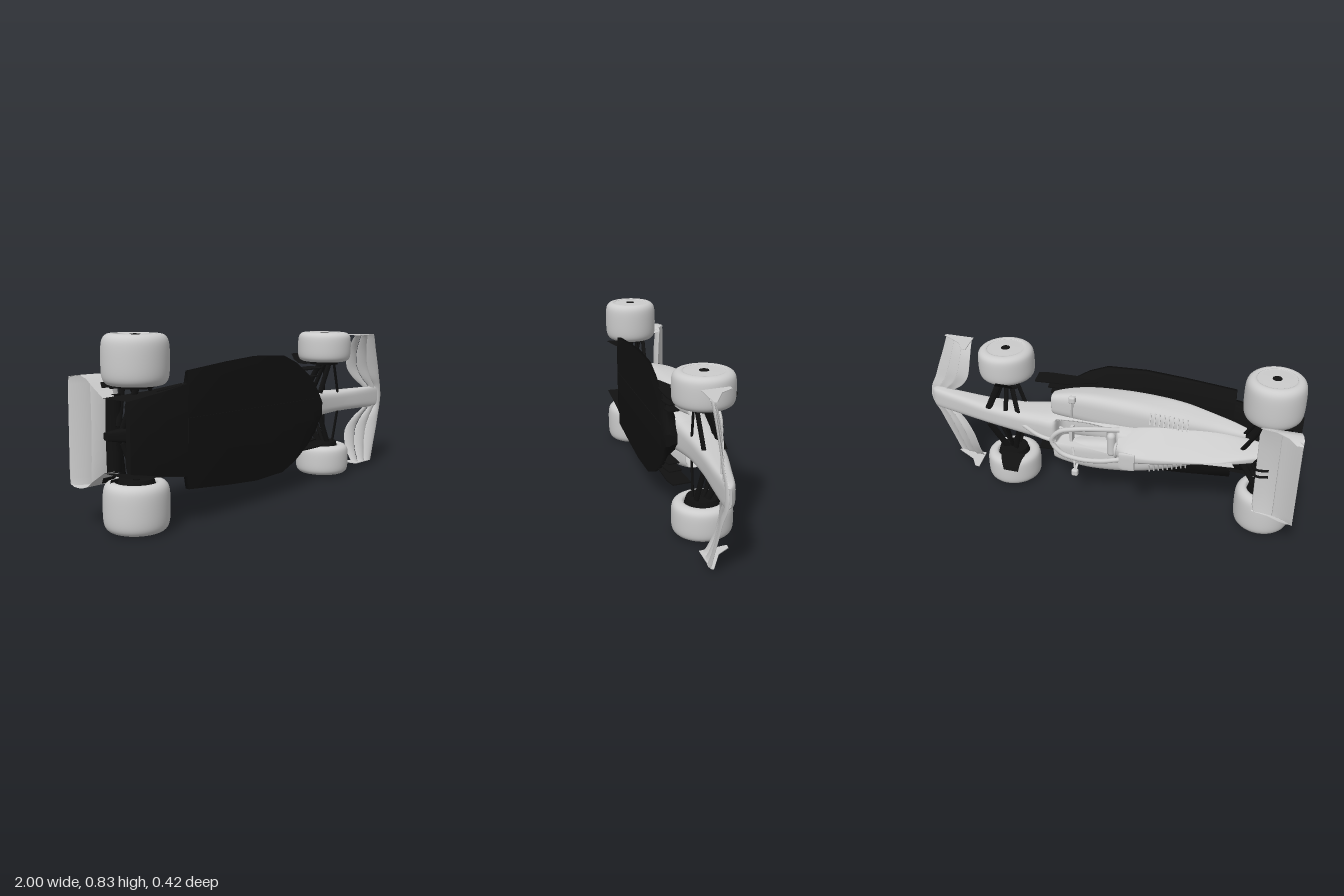
import * as THREE from 'three';
import { RoundedBoxGeometry } from 'three/addons/geometries/RoundedBoxGeometry.js';

const grey = new THREE.MeshStandardMaterial({ color: 0xcccccc, side: THREE.DoubleSide });
const black = new THREE.MeshStandardMaterial({ color: 0x111111, side: THREE.DoubleSide });
const V = (x, y, z) => new THREE.Vector3(x, y, z);

export function createModel() {
  // Car frame: x forward, y up, z sideways; the whole car is laid on its side at the end
  const car = new THREE.Group();
  car.name = 'racingCar';
  const add = (name, geo, mat = grey) => {
    const m = new THREE.Mesh(geo, mat);
    m.name = name;
    car.add(m);
    return m;
  };

  // Skin over rows of points; closed rows get end caps
  function loft(rows, closed = true) {
    const n = rows[0].length, pos = [], idx = [];
    rows.forEach(r => r.forEach(p => pos.push(p.x, p.y, p.z)));
    for (let i = 0; i < rows.length - 1; i++)
      for (let j = 0; j < (closed ? n : n - 1); j++) {
        const a = i * n + j, b = i * n + (j + 1) % n;
        idx.push(a, b, a + n, b, b + n, a + n);
      }
    if (closed) [rows[0], rows[rows.length - 1]].forEach((r, e) => {
      const base = pos.length / 3;
      const c = r.reduce((s, p) => s.add(p), V(0, 0, 0)).divideScalar(n);
      [c, ...r].forEach(p => pos.push(p.x, p.y, p.z));
      for (let j = 0; j < n; j++) {
        const a = base + 1 + j, b = base + 1 + (j + 1) % n;
        e ? idx.push(base, a, b) : idx.push(base, b, a);
      }
    });
    const g = new THREE.BufferGeometry();
    g.setAttribute('position', new THREE.Float32BufferAttribute(pos, 3));
    g.setIndex(idx);
    g.computeVertexNormals();
    return g;
  }

  // Rounded body section: widths at bottom and top, optional sunken top (cockpit)
  function section([x, yb, yt, wb, wt, dip = 0, zc = 0], e = 0.55) {
    return Array.from({ length: 48 }, (_, i) => {
      const a = i / 48 * Math.PI * 2, c = Math.cos(a), s = Math.sin(a);
      const h = Math.sign(s) * Math.abs(s) ** e, k = Math.sign(c) * Math.abs(c) ** e;
      const z = k * THREE.MathUtils.lerp(wb, wt, (h + 1) / 2);
      const y = (yb + yt) / 2 + h * (yt - yb) / 2;
      return V(x, s > 0 && Math.abs(k) < 0.82 ? y - dip : y, zc + z);
    });
  }
  // Smooth the station list with a spline in every column
  function smooth(st, steps) {
    return Array.from({ length: steps + 1 }, (_, i) => {
      const t = i / steps * (st.length - 1), k = Math.min(Math.floor(t), st.length - 2), f = t - k;
      const at = j => st[THREE.MathUtils.clamp(j, 0, st.length - 1)];
      return st[k].map((p1, c) => {
        const p0 = at(k - 1)[c], p2 = at(k + 1)[c], p3 = at(k + 2)[c];
        return p1 + 0.5 * f * (p2 - p0 + f * (2 * p0 - 5 * p1 + 4 * p2 - p3 + f * (3 * (p1 - p2) + p3 - p0)));
      });
    });
  }
  const body = (name, st, steps = 30, mat = grey, e) =>
    add(name, loft(smooth(st, steps).map(s => section(s, e))), mat);

  // Aerofoil with stations [z, leadX, leadY, trailX, trailY, sag]
  const wing = (name, st, mat = grey, thick = 0.006) =>
    add(name, loft(st.map(([z, lx, ly, tx, ty, sag = 0.01]) =>
      Array.from({ length: 20 }, (_, i) => {
        const a = i / 20 * Math.PI * 2, t = (1 - Math.cos(a)) / 2;
        return V(lx + (tx - lx) * t, ly + (ty - ly) * t - sag * 4 * t * (1 - t) + Math.sin(a) * thick, z);
      }))), mat);
  const mirrorZ = half => [...half.slice().reverse().map(([z, ...r]) => [-z, ...r]), ...half.filter(s => s[0] > 0)];

  // Flattened rod between two points
  function rod(name, a, b, chord, thin, mat = black) {
    const d = b.clone().sub(a);
    const m = add(name, new THREE.CylinderGeometry(1, 1, d.length(), 10).scale(chord, 1, thin), mat);
    m.position.copy(a).add(b).multiplyScalar(0.5);
    m.quaternion.setFromUnitVectors(V(0, 1, 0), d.normalize());
  }
  const tube = (name, pts, r, mat = grey) =>
    add(name, new THREE.TubeGeometry(new THREE.CatmullRomCurve3(pts.map(p => V(...p))), 48, r, 10), mat);
  // Upright plate drawn in x/y at a given z
  function plate(name, pts, z, mat, t = 0.004) {
    const shape = new THREE.Shape(pts.map(p => new THREE.Vector2(...p)));
    add(name, new THREE.ExtrudeGeometry(shape, { depth: t, bevelEnabled: false }).translate(0, 0, z - t / 2), mat);
  }

  // Nose and survival cell with open cockpit
  body('noseCone', [[0.98, -0.128, -0.108, 0.045, 0.04], [0.94, -0.13, -0.078, 0.062, 0.052], [0.8, -0.125, -0.04, 0.06, 0.054],
    [0.63, -0.115, 0.003, 0.06, 0.054], [0.45, -0.115, 0.035, 0.068, 0.06], [0.3, -0.13, 0.055, 0.085, 0.07]]);
  body('survivalCell', [[0.3, -0.13, 0.055, 0.085, 0.07, 0], [0.22, -0.14, 0.06, 0.1, 0.078, 0], [0.19, -0.15, 0.06, 0.1, 0.08, 0.08],
    [0.05, -0.16, 0.06, 0.1, 0.088, 0.1], [-0.08, -0.16, 0.08, 0.1, 0.088, 0.1], [-0.12, -0.16, 0.085, 0.1, 0.085, 0], [-0.2, -0.16, 0.085, 0.1, 0.08, 0]], 40);
  // Engine cover running back from the air intake
  body('engineCover', [[-0.13, 0.02, 0.135, 0.08, 0.028], [-0.2, -0.02, 0.175, 0.105, 0.03], [-0.31, -0.06, 0.168, 0.13, 0.022],
    [-0.45, -0.09, 0.135, 0.12, 0.014], [-0.6, -0.11, 0.1, 0.09, 0.01], [-0.72, -0.11, 0.05, 0.06, 0.02], [-0.86, -0.1, -0.02, 0.035, 0.02]], 36);
  plate('spineFin', [[-0.4, 0.13], [-0.7, 0.1], [-0.67, 0.05], [-0.4, 0.08]], 0, grey);
  const intake = add('airIntake', new THREE.TorusGeometry(0.034, 0.007, 10, 28).scale(1, 0.85, 1));
  intake.position.set(-0.127, 0.115, 0);
  intake.rotation.y = Math.PI / 2;

  // Roll hoop camera pod
  rod('cameraMast', V(-0.2, 0.16, 0), V(-0.2, 0.2, 0), 0.02, 0.008, grey);
  body('cameraPod', [[-0.165, 0.19, 0.205, 0.044, 0.044], [-0.19, 0.188, 0.208, 0.049, 0.049], [-0.24, 0.192, 0.204, 0.045, 0.045]], 8);

  // Cockpit fittings
  add('headrest', new THREE.CapsuleGeometry(0.022, 0.09, 6, 14).rotateX(Math.PI / 2)).position.set(-0.09, 0.075, 0);
  add('seat', new THREE.BoxGeometry(0.03, 0.1, 0.11).rotateZ(0.35)).position.set(-0.06, 0.0, 0);
  add('steeringWheel', new THREE.BoxGeometry(0.015, 0.04, 0.075)).position.set(0.13, 0.035, 0);
  rod('steeringColumn', V(0.13, 0.035, 0), V(0.21, 0.0, 0), 0.009, 0.009, grey);

  // Halo hoop and pillar
  tube('haloHoop', [[-0.13, 0.07, 0.088], [-0.04, 0.1, 0.094], [0.07, 0.121, 0.088], [0.16, 0.126, 0.062], [0.205, 0.124, 0],
    [0.16, 0.126, -0.062], [0.07, 0.121, -0.088], [-0.04, 0.1, -0.094], [-0.13, 0.07, -0.088]], 0.0125);
  tube('haloPillar', [[0.19, 0.124, 0], [0.28, 0.1, 0], [0.39, 0.035, 0]], 0.011);

  // Front wing: three overlapping elements
  const wingPlan = smooth([[0, 1.0, -0.126, 0.86, -0.115], [0.055, 0.99, -0.128, 0.85, -0.105], [0.11, 0.965, -0.135, 0.785, -0.082],
    [0.18, 0.94, -0.14, 0.735, -0.064], [0.27, 0.905, -0.145, 0.72, -0.078], [0.34, 0.88, -0.149, 0.72, -0.112], [0.362, 0.87, -0.15, 0.72, -0.13]], 24);
  for (let i = 0; i < 3; i++) {
    const f = i / 3, g = (i + 1) / 3 + 0.02;
    wing('frontWingElement', mirrorZ(wingPlan.map(([z, lx, ly, tx, ty]) =>
      [z, lx + (tx - lx) * f, ly + (ty - ly) * f + i * 0.003, lx + (tx - lx) * g, ly + (ty - ly) * g, 0.006])), grey, 0.004);
  }

  // Floor, widest beside the cockpit, with rising diffuser
  const floorEdge = [[0.325, 0.03, -0.13, -0.188], [0.28, 0.1, -0.12, -0.188], [0.24, 0.147, -0.115, -0.188], [0.2, 0.182, -0.115, -0.188], [0.1, 0.247, -0.115, -0.188],
    [0, 0.287, -0.12, -0.188], [-0.2, 0.295, -0.13, -0.188], [-0.4, 0.28, -0.135, -0.188], [-0.649, 0.255, -0.14, -0.188], [-0.65, 0.2, -0.14, -0.183], [-0.8, 0.177, -0.12, -0.16], [-0.92, 0.155, -0.1, -0.125]];
  add('floor', loft(floorEdge.map(([x, w, top, bot]) => [[w, bot], [w, bot + 0.02], [w * 0.78, bot + 0.032], [w * 0.55, top], [0, top],
    [-w * 0.55, top], [-w * 0.78, bot + 0.032], [-w, bot + 0.02], [-w, bot], [0, bot]].map(([z, y]) => V(x, y, z)))), black);
  add('plank', new THREE.BoxGeometry(0.9, 0.006, 0.11), black).position.set(-0.2, -0.188, 0);
  body('gearbox', [[-0.65, -0.15, -0.03, 0.05, 0.04], [-0.85, -0.13, -0.03, 0.04, 0.03], [-0.98, -0.06, -0.03, 0.02, 0.015]], 10, black);

  // Tyre profile swept round the axle, with a flush cover, a dark hub and a dark drum inside
  function wheel(name, x, z, r, w, s) {
    const g = new THREE.Group();
    const h = w / 2, prof = [[0.6, -0.88], [0.64, -0.97], [0.74, -1], [0.86, -0.94], [0.95, -0.78], [0.99, -0.5], [1, 0],
      [0.99, 0.5], [0.95, 0.78], [0.86, 0.94], [0.74, 1], [0.66, 0.98], [0.63, 0.95], [0.35, 0.96], [0.001, 0.97]];
    const curve = new THREE.SplineCurve(prof.map(([a, b]) => new THREE.Vector2(a * r, b * h)));
    const tyre = new THREE.Mesh(new THREE.LatheGeometry(curve.getPoints(48), 56), grey);
    tyre.name = 'tyreAndCover';
    const hub = new THREE.Mesh(new THREE.CylinderGeometry(r * 0.15, r * 0.17, 0.006, 20), black);
    hub.name = 'hubNut';
    hub.position.y = h * 0.96;
    const drum = new THREE.Mesh(new THREE.CylinderGeometry(r * 0.62, r * 0.52, 0.05, 32), black);
    drum.name = 'brakeDrum';
    drum.position.y = -h * 0.88;
    g.add(tyre, hub, drum);
    g.name = name;
    g.rotation.x = s * Math.PI / 2;
    g.position.set(x, -0.067, s * z);
    car.add(g);
  }

  for (const s of [1, -1]) {
    const P = (x, y, z) => V(x, y, s * z);
    wheel('frontWheel', 0.503, 0.304, 0.142, 0.156, s);
    wheel('rearWheel', -0.838, 0.308, 0.142, 0.212, s);

    // Side pod with recessed inlet, sloping down towards the rear
    body('sidePod', [[0.1, -0.06, 0.0, 0.03, 0.04, 0, s * 0.14], [0.23, -0.06, 0.01, 0.042, 0.05, 0, s * 0.135], [0.225, -0.075, 0.022, 0.052, 0.06, 0, s * 0.135], [0.13, -0.11, 0.03, 0.064, 0.077, 0, s * 0.138],
      [0, -0.14, 0.034, 0.075, 0.09, 0, s * 0.132], [-0.2, -0.15, 0.025, 0.095, 0.085, 0, s * 0.115], [-0.4, -0.155, -0.01, 0.1, 0.06, 0, s * 0.09],
      [-0.58, -0.155, -0.06, 0.075, 0.04, 0, s * 0.06], [-0.72, -0.15, -0.085, 0.045, 0.03, 0, s * 0.04]], 40, grey, 0.6);
    // Cooling louvres
    for (let i = 0; i < 9; i++) {
      const slat = add('louvre', new THREE.BoxGeometry(0.007, 0.005, 0.06));
      slat.position.set(-0.27 - i * 0.022, 0.018 - i * 0.0045, s * (0.145 - i * 0.004));
      slat.rotation.x = s * 0.3;
    }

    // Mirror on its stalks
    add('mirror', new RoundedBoxGeometry(0.034, 0.028, 0.036, 3, 0.009)).position.set(0.11, 0.066, s * 0.217);
    rod('mirrorStalk', P(0.13, 0.03, 0.09), P(0.11, 0.062, 0.205), 0.006, 0.003, grey);
    rod('mirrorPost', P(0.11, 0.02, 0.19), P(0.11, 0.06, 0.212), 0.006, 0.003, grey);

    // Front wing end plate
    plate('frontEndPlate', [[0.87, -0.152], [0.72, -0.152], [0.705, -0.02], [0.73, -0.022], [0.77, -0.08], [0.88, -0.14]], s * 0.362, grey);

    // Floor fences at the tunnel entry
    [[0.205, 0.37, -0.075], [0.165, 0.31, -0.1], [0.13, 0.3, -0.11]].forEach(([z, x, top]) =>
      plate('floorFence', [[x, -0.165], [x - 0.01, top], [0.2, top - 0.01], [0.05, -0.14], [0.05, -0.18], [x - 0.06, -0.178]], s * z, black, 0.006));

    // Front suspension
    rod('frontUpperArm', P(0.6, 0.0, 0.045), P(0.525, -0.06, 0.235), 0.017, 0.007);
    rod('frontUpperArm', P(0.43, 0.01, 0.05), P(0.495, -0.06, 0.235), 0.017, 0.007);
    rod('frontLowerArm', P(0.6, -0.095, 0.05), P(0.53, -0.11, 0.235), 0.015, 0.006);
    rod('frontLowerArm', P(0.43, -0.095, 0.055), P(0.5, -0.11, 0.235), 0.015, 0.006);
    rod('frontPushRod', P(0.5, 0.005, 0.05), P(0.51, -0.075, 0.235), 0.012, 0.01);

    // Curved deflector over the inside of the front tyre
    add('wheelDeflector', loft([[0.55, 0.5], [0.5, 0.46], [0.41, 0.42]].map(x => [[0, 0.21], [0.04, 0.214], [0.072, 0.232], [0.093, 0.262]]
      .map(([y, z], j) => P(x[0] + (x[1] - x[0]) * j / 3, y, z))), false), black);

    // Rear suspension
    rod('rearUpperArm', P(-0.72, -0.01, 0.035), P(-0.83, 0.0, 0.22), 0.014, 0.006);
    rod('rearUpperArm', P(-0.9, -0.03, 0.03), P(-0.85, 0.0, 0.22), 0.014, 0.006);
    rod('rearLowerArm', P(-0.7, -0.1, 0.04), P(-0.82, -0.11, 0.22), 0.014, 0.006);
    rod('rearLowerArm', P(-0.92, -0.08, 0.03), P(-0.86, -0.11, 0.22), 0.014, 0.006);
    rod('driveShaft', P(-0.838, -0.066, 0.02), P(-0.838, -0.066, 0.22), 0.012, 0.012);
    [0.02, -0.03].forEach(y => rod('rearBrakeWinglet', P(-0.91, y, 0.19), P(-0.91, y + 0.01, 0.212), 0.035, 0.003));
    // Swan neck carrying the rear wing
    tube('rearWingNeck', [[-0.86, -0.03, 0.018], [-0.8, 0.03, 0.018], [-0.785, 0.09, 0.018], [-0.81, 0.115, 0.018], [-0.86, 0.108, 0.018]]
      .map(([x, y, z]) => [x, y, s * z]), 0.006, black);

    // Rear wing end plate, rolled at the top and tapering inwards below
    add('rearEndPlate', loft([[0.172, 0.222, -1, -0.97], [0.145, 0.236, -1, -0.935], [0.115, 0.239, -0.995, -0.88], [0.1, 0.238, -0.99, -0.8], [0.07, 0.227, -0.985, -0.81], [0.04, 0.2, -0.98, -0.88], [-0.03, 0.155, -0.98, -0.92]]
      .map(([y, z, x0, x1]) => [0, 0.33, 0.67, 1].map(t => P(x0 + (x1 - x0) * t, y, z))), false));
    // Diffuser side wall
    add('diffuserWall', loft([[-0.65, 0.2, -0.14], [-0.8, 0.177, -0.1], [-0.98, 0.155, -0.03]]
      .map(([x, z, top]) => [P(x, -0.183, z), P(x, top, z)]), false), black);
  }

  // Rear wing main plane, flap and lower beam wing
  wing('rearWingMain', mirrorZ([[0, -0.8, 0.088, -0.93, 0.11, 0.016], [0.12, -0.8, 0.09, -0.93, 0.112, 0.016], [0.2, -0.8, 0.095, -0.93, 0.115, 0.012], [0.237, -0.81, 0.1, -0.93, 0.118, 0.01]]));
  wing('rearWingFlap', mirrorZ([[0, -0.9, 0.108, -1, 0.172], [0.2, -0.9, 0.11, -1, 0.172], [0.232, -0.9, 0.113, -1, 0.165]]), grey, 0.004);
  wing('beamWing', mirrorZ([[0, -0.87, -0.02, -0.94, 0.005], [0.165, -0.88, -0.02, -0.94, 0.0]]), black, 0.004);

  // Lay the car on its side, roof towards -z, with its slight yaw
  car.rotation.set(-Math.PI / 2, 0.0165, 0);
  car.position.y = 0.403;
  const model = new THREE.Group();
  model.name = 'model';
  model.add(car);
  return model;
}
